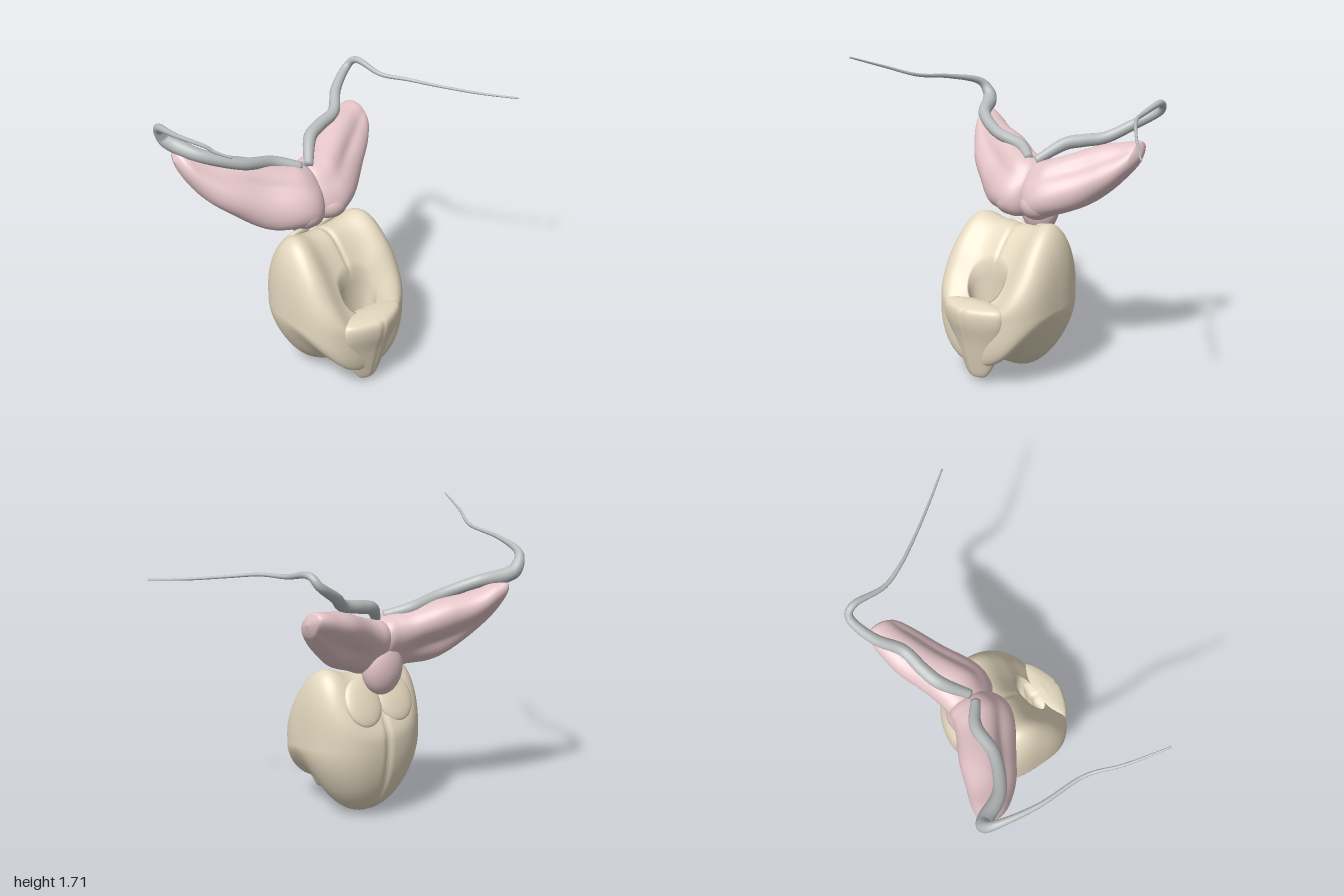
import * as THREE from 'three';
import { mergeVertices } from 'three/addons/utils/BufferGeometryUtils.js';

const tan = new THREE.MeshStandardMaterial({ color: 0xe4d8bf });
const pink = new THREE.MeshStandardMaterial({ color: 0xe4c5c8 });
const grey = new THREE.MeshStandardMaterial({ color: 0xb8bcbd });
const CX = -0.09; // plane of symmetry of the shell
const bump = (v, w) => Math.exp(-((v / w) ** 2));
const pw = (v, e) => Math.sign(v) * Math.abs(v) ** e;
const ramp = THREE.MathUtils.smoothstep;

// Smooth surface from a grid of points; flips itself so that faces point outward
function surface(nu, nv, point) {
  const pos = [], idx = [];
  for (let i = 0; i <= nu; i++) for (let j = 0; j <= nv; j++) pos.push(...point(i / nu, j / nv));
  for (let i = 0; i < nu; i++) for (let j = 0; j < nv; j++) {
    const a = i * (nv + 1) + j, b = a + nv + 1;
    idx.push(a, b, a + 1, b, b + 1, a + 1);
  }
  let volume = 0;
  const at = (k) => new THREE.Vector3().fromArray(pos, k * 3);
  for (let k = 0; k < idx.length; k += 3) volume += at(idx[k]).dot(at(idx[k + 1]).cross(at(idx[k + 2])));
  if (volume < 0) idx.reverse();
  const geo = new THREE.BufferGeometry();
  geo.setAttribute('position', new THREE.Float32BufferAttribute(pos, 3));
  geo.setIndex(idx);
  const welded = mergeVertices(geo, 1e-5);
  welded.computeVertexNormals();
  return welded;
}

function mesh(name, geo, mat) {
  const m = new THREE.Mesh(geo, mat);
  m.name = name;
  return m;
}

// Spline through rows of [x, y, z, radiusA, radiusB]
function rowSpline(rows) {
  const make = (f) => new THREE.CatmullRomCurve3(rows.map(f), false, 'catmullrom', 0.5);
  const c = make((r) => new THREE.Vector3(r[0], r[1], r[2]));
  const s = make((r) => new THREE.Vector3(r[3], r[4], 0));
  return (t) => {
    const p = c.getPoint(t), q = s.getPoint(t);
    return [p.x, p.y, p.z, Math.max(q.x, 0), Math.max(q.y, 0)];
  };
}

// Hollow shell: a ring around an upright opening, between a top and a bottom height profile
function shellGeometry() {
  const profile = (values) => {
    const c = new THREE.SplineCurve(values.map((v, i) => new THREE.Vector2(i, v)));
    return (z) => c.getPoint(THREE.MathUtils.clamp((z + 0.25) / 0.7, 0, 1)).y;
  };
  const top = profile([0.7, 0.79, 0.9, 0.915, 0.86, 0.75, 0.6, 0.49]);
  const bottom = profile([-0.12, -0.12, -0.09, -0.045, 0.03, 0.1, 0.11, 0.05]);
  return surface(240, 64, (u, v) => {
    const a = u * Math.PI * 2, c = Math.cos(a), s = Math.sin(a);
    const e = s > 0 ? 2 / 2.9 : 2 / 2.4;
    const ox = 0.353 * pw(c, e);
    const groove = bump(ox, 0.018);
    const oz = 0.115 + 0.335 * pw(s, e) * (1 - 0.045 * groove);
    // v: 0-0.45 top, 0.45-0.9 bottom, then up the wall of the opening
    const upper = v <= 0.45 || v >= 0.9999;
    const w = v >= 0.9999 ? 0 : upper ? v / 0.45 : Math.max(0, (0.9 - v) / 0.45);
    const p = Math.sin((w * Math.PI) / 2);
    const at = (isTop) => {
      const ix = (isTop ? 0.12 : 0.075) * c;
      const iz = (isTop ? 0.31 : 0.275) + (isTop ? 0.07 : 0.035) * s;
      const x = ix + (ox - ix) * p, z = iz + (oz - iz) * p;
      const mid = 0.43 - 0.1 * z;
      if (isTop) {
        const dip = (0.085 + 0.035 * ramp(z, 0.08, 0.25)) * Math.exp(-((x / 0.2) ** 4))
          + 0.012 * bump(x, 0.015);
        const t = Math.max(top(z) - dip, mid + 0.02);
        return [x + CX, mid + (t - mid) * Math.cbrt(Math.max(0, 1 - p ** 3)), z];
      }
      const front = ramp(z, 0.15, 0.42); // squarer toward the front
      const b = Math.min(bottom(z) + (1.8 - 0.4 * front) * x * x, mid - 0.05);
      const k = 2 + 2 * front;
      return [x + CX, mid - (mid - b) * Math.max(0, 1 - p ** k) ** (1 / k), z];
    };
    if (upper) return at(true);
    if (v <= 0.9) return at(false);
    const k = (v - 0.9) / 0.1, lo = at(false), hi = at(true);
    return lo.map((q, i) => q + (hi[i] - q) * k);
  });
}

// Front shield: sections stacked upward, keeled in front and running back into the shell
function shieldGeometry() {
  const row = rowSpline([
    [0, 0.025, 0.395, 0, 0], [0, 0.035, 0.395, 0.06, 0.03], [0, 0.12, 0.39, 0.115, 0.062],
    [0, 0.25, 0.405, 0.165, 0.078], [0, 0.36, 0.42, 0.2, 0.096], [0, 0.43, 0.42, 0.2, 0.096],
    [0, 0.455, 0.415, 0.15, 0.06], [0, 0.465, 0.41, 0, 0],
  ]);
  return surface(56, 96, (u, v) => {
    const [, y, z, rx, rz] = row(u), a = v * Math.PI * 2;
    const x = rx * Math.cos(a), s = Math.sin(a);
    const keel = s > 0 ? 0.55 * s + 0.45 * (1 - Math.abs(Math.cos(a))) : s;
    return [CX + x, y, z + rz * keel * (1 - 0.12 * bump(x, 0.012))];
  });
}

// Folded lobe: tapering oval sections leaning back, with hollows front and back
function lobeGeometry(rows) {
  const row = rowSpline(rows);
  return surface(64, 56, (u, v) => {
    const [x, y, z, ry, rz] = row(u), a = v * Math.PI * 2;
    const wrap = (c) => Math.atan2(Math.sin(a - c), Math.cos(a - c));
    const middle = Math.sin(Math.PI * u) ** 2;
    const f = 1 - middle * (0.24 * bump(wrap(0.5), 0.42) + 0.3 * bump(wrap(3.4), 0.5))
      + 0.03 * middle * Math.sin(u * 22 + 2 * a);
    const up = ry * f * pw(Math.sin(a), 0.9);
    return [x, y + up, z + 0.93 * rz * f * pw(Math.cos(a), 0.9) - (0.25 + 0.3 * u) * up];
  });
}

// Cord along points [x, y, z, radius]
function cordGeometry(points) {
  const row = rowSpline(points.map((p) => [...p, 0]));
  const path = new THREE.CatmullRomCurve3(points.map((p) => new THREE.Vector3(...p)), false, 'catmullrom', 0.5);
  const n = 140, sides = 14;
  const frames = path.computeFrenetFrames(n, false);
  return surface(n + 2, sides, (u, v) => {
    const k = Math.round(u * (n + 2)) - 1, i = THREE.MathUtils.clamp(k, 0, n);
    const r = k === i ? row(path.getUtoTmapping(i / n))[3] : 0;
    const a = v * Math.PI * 2;
    return path.getPointAt(i / n)
      .addScaledVector(frames.normals[i], r * Math.cos(a))
      .addScaledVector(frames.binormals[i], r * Math.sin(a)).toArray();
  });
}

function ellipsoid(name, mat, p, r, tilt = 0) {
  const m = mesh(name, new THREE.SphereGeometry(1, 40, 28), mat);
  m.position.set(...p);
  m.scale.set(...r);
  m.rotation.x = tilt;
  return m;
}

export function createModel() {
  const model = new THREE.Group();

  // Shell
  model.add(mesh('shell', shellGeometry(), tan), mesh('frontShield', shieldGeometry(), tan));
  for (const s of [-1, 1]) {
    model.add(ellipsoid('backCollar', tan, [CX + s * 0.105, 0.69, -0.115], [0.115, 0.14, 0.035], 0.5));
  }

  // Lobes with their lower front swellings, and the stem that joins them to the shell
  model.add(mesh('rightLobe', lobeGeometry([
    [-0.03, 1.0, -0.1, 0, 0], [-0.07, 1.0, -0.1, 0.13, 0.12], [-0.15, 1.005, -0.09, 0.165, 0.17],
    [-0.25, 1.025, -0.12, 0.17, 0.18], [-0.4, 1.06, -0.2, 0.175, 0.175], [-0.55, 1.13, -0.28, 0.145, 0.145],
    [-0.65, 1.2, -0.34, 0.115, 0.11], [-0.715, 1.265, -0.385, 0.07, 0.07], [-0.745, 1.29, -0.4, 0, 0],
  ]), pink));
  model.add(mesh('leftLobe', lobeGeometry([
    [-0.15, 1.0, -0.1, 0, 0], [-0.1, 1.0, -0.1, 0.13, 0.12], [0, 1.005, -0.09, 0.16, 0.17],
    [0.1, 1.04, -0.12, 0.165, 0.175], [0.25, 1.1, -0.2, 0.155, 0.165], [0.37, 1.16, -0.25, 0.125, 0.13],
    [0.455, 1.215, -0.28, 0.08, 0.095], [0.48, 1.225, -0.285, 0.05, 0.06], [0.497, 1.23, -0.29, 0, 0],
  ]), pink));
  for (const s of [-1, 1]) {
    model.add(ellipsoid('frontSwelling', pink, [CX + s * 0.09, 0.93, -0.015], [0.1, 0.085, 0.095]));
  }
  model.add(ellipsoid('stem', pink, [CX, 0.89, -0.145], [0.125, 0.16, 0.09]));

  // Cords lying along the lobes and trailing forward
  model.add(mesh('rightCord', cordGeometry([
    [-0.13, 1.16, -0.1, 0.026], [-0.26, 1.2, -0.185, 0.034], [-0.45, 1.25, -0.2, 0.034],
    [-0.635, 1.32, -0.3, 0.036], [-0.72, 1.37, -0.44, 0.042], [-0.757, 1.42, -0.475, 0.036],
    [-0.8, 1.49, -0.43, 0.022], [-0.845, 1.535, -0.22, 0.013], [-0.855, 1.57, 0.03, 0.01],
    [-0.93, 1.63, 0.21, 0.008], [-0.995, 1.7, 0.42, 0.005],
  ]), grey));
  model.add(mesh('leftCord', cordGeometry([
    [-0.08, 1.15, -0.1, 0.026], [0.03, 1.24, -0.21, 0.036], [0.14, 1.27, -0.25, 0.036],
    [0.27, 1.3, -0.28, 0.033], [0.38, 1.37, -0.38, 0.03], [0.51, 1.45, -0.435, 0.024],
    [0.545, 1.505, -0.38, 0.019], [0.555, 1.47, -0.2, 0.013], [0.62, 1.465, -0.05, 0.01],
    [0.73, 1.44, 0.11, 0.008], [0.86, 1.415, 0.28, 0.007], [0.995, 1.4, 0.45, 0.005],
  ]), grey));
  return model;
}
